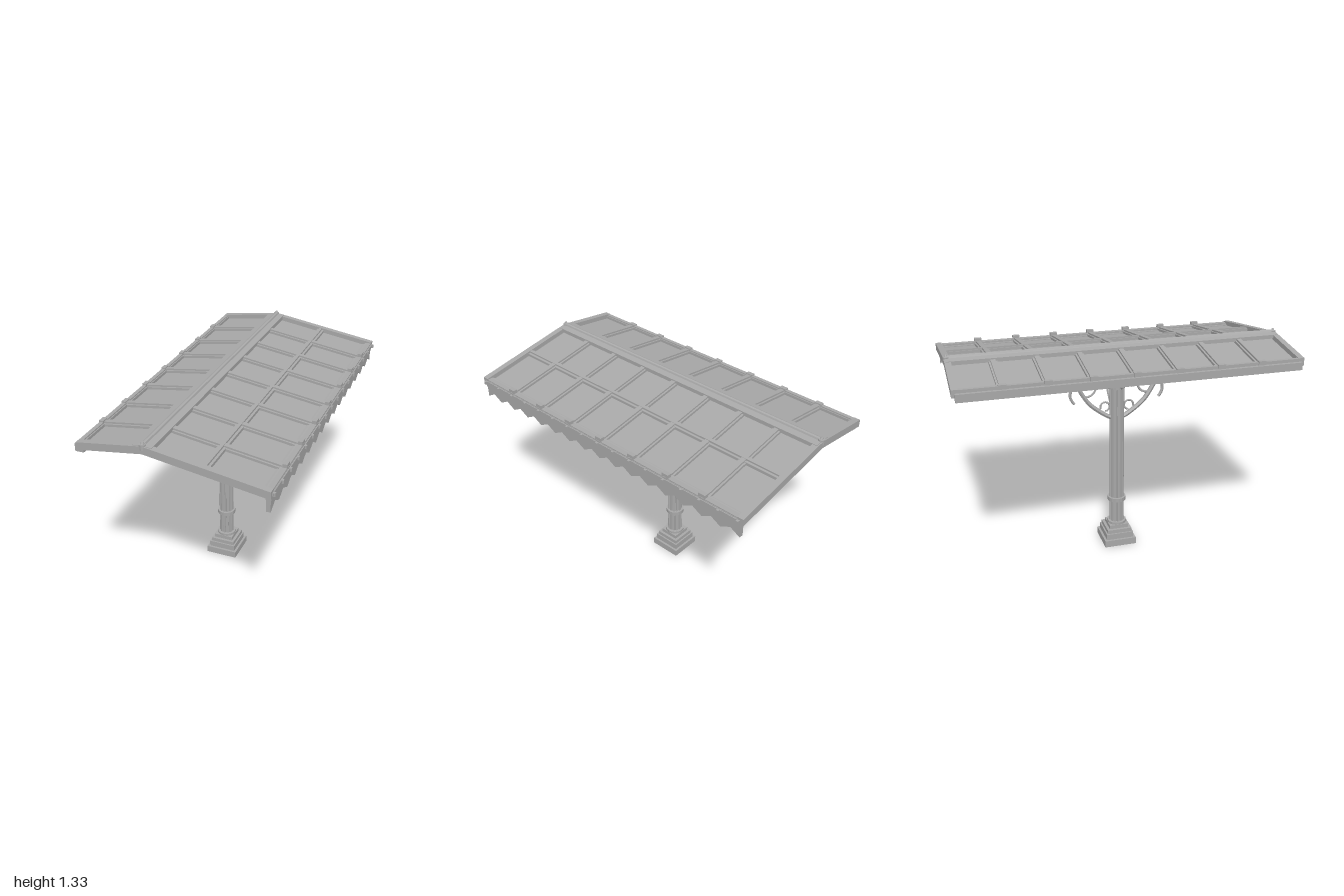
import * as THREE from 'three';

const iron = new THREE.MeshStandardMaterial({ color: 0xa8a8a8, flatShading: true, side: THREE.DoubleSide });
iron.name = 'grey iron';

export function createModel() {
  const model = new THREE.Group();
  model.name = 'platformCanopy';

  const add = (name, geo, x = 0, y = 0, z = 0, parent = model) => {
    const m = new THREE.Mesh(geo, iron);
    m.name = name;
    m.position.set(x, y, z);
    parent.add(m);
    return m;
  };
  const box = (name, x0, x1, y0, y1, z0, z1, parent) =>
    add(name, new THREE.BoxGeometry(x1 - x0, y1 - y0, z1 - z0),
      (x0 + x1) / 2, (y0 + y1) / 2, (z0 + z1) / 2, parent);
  const tube = (name, pts, r, parent, seg = 14) => {
    const curve = new THREE.CatmullRomCurve3(pts.map(p => new THREE.Vector3(p[0], p[1], 0)));
    return add(name, new THREE.TubeGeometry(curve, seg, r, 6), 0, 0, 0, parent);
  };
  // Extrudes an outline in the x-y plane, centred on z
  const slab = (name, pts, depth, z, parent) => {
    const shape = new THREE.Shape(pts.map(p => new THREE.Vector2(p[0], p[1])));
    const geo = new THREE.ExtrudeGeometry(shape, { depth, bevelEnabled: false });
    geo.translate(0, 0, -depth / 2);
    return add(name, geo, 0, 0, z, parent);
  };

  // ---------- Roof ----------
  const roof = new THREE.Group();
  roof.name = 'roof';
  model.add(roof);
  const RX = -0.15, RY = 1.305, LX = -0.53, LY = 1.25, EX = 0.53, EY = 1.2;
  const roofY = x => x < RX ? RY + (RX - x) * (LY - RY) / (RX - LX) : RY + (x - RX) * (EY - RY) / (EX - RX);
  // Bent strip following both slopes, between two depths under the roof line
  const bent = (name, top, bottom, width, z) => slab(name, [
    [LX, LY - top], [LX, LY - bottom], [RX, RY - bottom],
    [EX, EY - bottom], [EX, EY - top], [RX, RY - top]], width, z, roof);

  bent('roofPanels', 0.028, 0.038, 1.96, 0);
  for (let i = -4; i <= 4; i++) {
    const end = Math.abs(i) === 4;
    const z = end ? Math.sign(i) * 0.98 : i * 0.245;
    if (end) bent('gableBeam', 0, 0.044, 0.036, z);
    else {
      bent('rafter', 0.014, 0.044, 0.05, z);
      bent('rafterCap', 0.004, 0.014, 0.028, z);
      // Clips where the rafters meet the eaves
      box('eaveClip', 0.502, 0.528, 1.18, 1.215, z - 0.022, z + 0.022, roof);
      box('eaveClip', -0.535, -0.51, 1.225, 1.255, z - 0.022, z + 0.022, roof);
    }
  }
  // Bars running the length of the roof
  const purlin = (name, x0, x1, top, bottom) => slab(name, [
    [x0, roofY(x0) - top], [x0, roofY(x0) - bottom],
    [x1, roofY(x1) - bottom], [x1, roofY(x1) - top]], 1.96, 0, roof);
  purlin('middlePurlin', 0.155, 0.198, 0.012, 0.044);
  purlin('middlePurlinCap', 0.168, 0.185, 0.002, 0.012);
  purlin('frontEavePurlin', 0.49, 0.53, 0.012, 0.044);
  purlin('backEavePurlin', -0.53, -0.5, 0.012, 0.044);

  // Ridge boards, ridge roll and end finials
  slab('ridgeBoards', [[-0.205, roofY(-0.205) - 0.02], [RX, RY - 0.02], [-0.098, roofY(-0.098) - 0.02],
    [-0.098, roofY(-0.098) + 0.003], [RX, RY + 0.003], [-0.205, roofY(-0.205) + 0.003]], 1.98, 0, roof);
  const roll = add('ridgeRoll', new THREE.CylinderGeometry(0.014, 0.014, 1.98, 8), RX, RY, 0, roof);
  roll.rotation.x = Math.PI / 2;
  for (const s of [-1, 1]) {
    add('ridgeFinial', new THREE.CylinderGeometry(0.004, 0.018, 0.03, 8), RX, RY + 0.007, s * 0.983, roof);
    add('ridgeBoss', new THREE.CylinderGeometry(0.019, 0.019, 0.03, 8), RX, RY - 0.008, s * 0.983, roof);
  }

  // Eave gutters
  box('backGutter', -0.55, -0.5, 1.185, 1.23, -0.98, 0.98, roof);
  box('backGutterLip', -0.53, -0.508, 1.23, 1.248, -0.98, 0.98, roof);
  box('frontGutter', 0.475, 0.535, 1.168, 1.185, -0.98, 0.98, roof);
  box('frontFascia', 0.498, 0.528, 1.14, 1.195, -0.98, 0.98, roof);

  // Toothed valance, drawn along z
  const teeth = 16, step = 1.96 / teeth;
  const edge = new THREE.Shape();
  edge.moveTo(-0.98, 1.15);
  edge.lineTo(-0.98, 1.072);
  for (let i = 0; i < teeth; i++) {
    const z = -0.98 + i * step;
    edge.lineTo(z + step / 2, 1.106);
    edge.lineTo(z + step, 1.072);
  }
  edge.lineTo(0.98, 1.15);
  const valance = new THREE.ExtrudeGeometry(edge, { depth: 0.024, bevelEnabled: false });
  valance.rotateY(-Math.PI / 2);
  add('valance', valance, 0.524, 0, 0, roof);
  for (let i = 0; i <= teeth; i++) {
    const z = -0.97 + i * 1.94 / teeth;
    box('valanceBolt', 0.528, 0.545, 1.165, 1.185, z - 0.007, z + 0.007, roof);
  }

  // ---------- Column ----------
  const column = new THREE.Group();
  column.name = 'column';
  column.position.x = -0.125;
  model.add(column);
  for (const [h, y0, y1] of [[0.1, 0, 0.043], [0.086, 0.043, 0.08], [0.077, 0.08, 0.104], [0.06, 0.104, 0.128]])
    box('plinthStep', -h, h, y0, y1, -h, h, column);

  // Fluted shaft
  const flutes = 12, ring = [];
  for (let i = 0; i < flutes; i++) {
    for (const [f, r] of [[-0.3, 0.045], [0.3, 0.045], [0.4, 0.039], [0.6, 0.039]]) {
      const a = (i + f) / flutes * Math.PI * 2;
      ring.push(new THREE.Vector2(Math.cos(a) * r, Math.sin(a) * r));
    }
  }
  const shaft = new THREE.ExtrudeGeometry(new THREE.Shape(ring), { depth: 0.92, bevelEnabled: false });
  shaft.rotateX(-Math.PI / 2);
  add('flutedShaft', shaft, 0, 0.12, 0, column);

  const collar = (name, r, y0, y1, sides = 16, r2 = r) =>
    add(name, new THREE.CylinderGeometry(r2, r, y1 - y0, sides), 0, (y0 + y1) / 2, 0, column);
  collar('footRing', 0.06, 0.126, 0.143);
  collar('shaftBand', 0.057, 0.285, 0.31);
  collar('neckRing', 0.05, 1.03, 1.06);
  collar('capitalLower', 0.058, 1.06, 1.09, 16, 0.064);
  collar('capitalMiddle', 0.08, 1.09, 1.115);
  collar('capitalTop', 0.105, 1.115, 1.142);

  // Curled leaves under the capital
  for (let i = 0; i < 8; i++) {
    const leaf = new THREE.Group();
    leaf.name = 'capitalLeaf';
    leaf.rotation.y = i * Math.PI / 4;
    column.add(leaf);
    tube('leafCurl', [[0.055, 1.07], [0.078, 1.093], [0.1, 1.088], [0.103, 1.068], [0.094, 1.055]], 0.006, leaf, 8);
  }

  // Three branching braces with scrolls
  for (const turn of [0, Math.PI / 2, -Math.PI / 2]) {
    const brace = new THREE.Group();
    brace.name = 'brace';
    brace.rotation.y = turn;
    column.add(brace);
    tube('braceArm', [[0.03, 0.842], [0.06, 0.855], [0.165, 0.935], [0.205, 0.99],
      [0.26, 1.08], [0.31, 1.118], [0.375, 1.155]], 0.014, brace, 18);
    tube('braceTendril', [[0.25, 1.07], [0.275, 1.045], [0.287, 1.005], [0.278, 0.972], [0.262, 0.95]], 0.009, brace, 8);
    const big = add('largeScroll', new THREE.TorusGeometry(0.058, 0.007, 6, 14, Math.PI * 1.65), 0.187, 1.045, 0, brace);
    big.rotation.z = 0.1;
    const small = add('smallScroll', new THREE.TorusGeometry(0.029, 0.006, 6, 12, Math.PI * 1.6), 0.074, 0.915, 0, brace);
    small.rotation.z = -0.4;
  }
  // Root plate joining the braces to the shaft
  box('braceSocket', -0.02, 0.05, 0.838, 0.96, -0.014, 0.014, column);

  // ---------- Hanging lantern ----------
  const lantern = new THREE.Group();
  lantern.name = 'lantern';
  lantern.position.x = 0.315;
  model.add(lantern);
  tube('hook', [[0, 1.2], [0.001, 1.165], [0.012, 1.145], [0.006, 1.128], [-0.006, 1.125]], 0.006, lantern, 10);
  const part = (name, rTop, rBottom, y0, y1) => {
    const m = add(name, new THREE.CylinderGeometry(rTop, rBottom, y1 - y0, 6), 0, (y0 + y1) / 2, 0, lantern);
    m.rotation.y = Math.PI / 6;
  };
  part('lanternKnob', 0.006, 0.012, 1.095, 1.112);
  part('lanternNeck', 0.014, 0.014, 1.08, 1.097);
  part('lanternRoof', 0.013, 0.038, 1.055, 1.082);
  part('lanternRim', 0.04, 0.04, 1.045, 1.056);
  part('lanternGlass', 0.035, 0.031, 0.958, 1.046);
  part('lanternFoot', 0.038, 0.038, 0.945, 0.958);
  return model;
}
